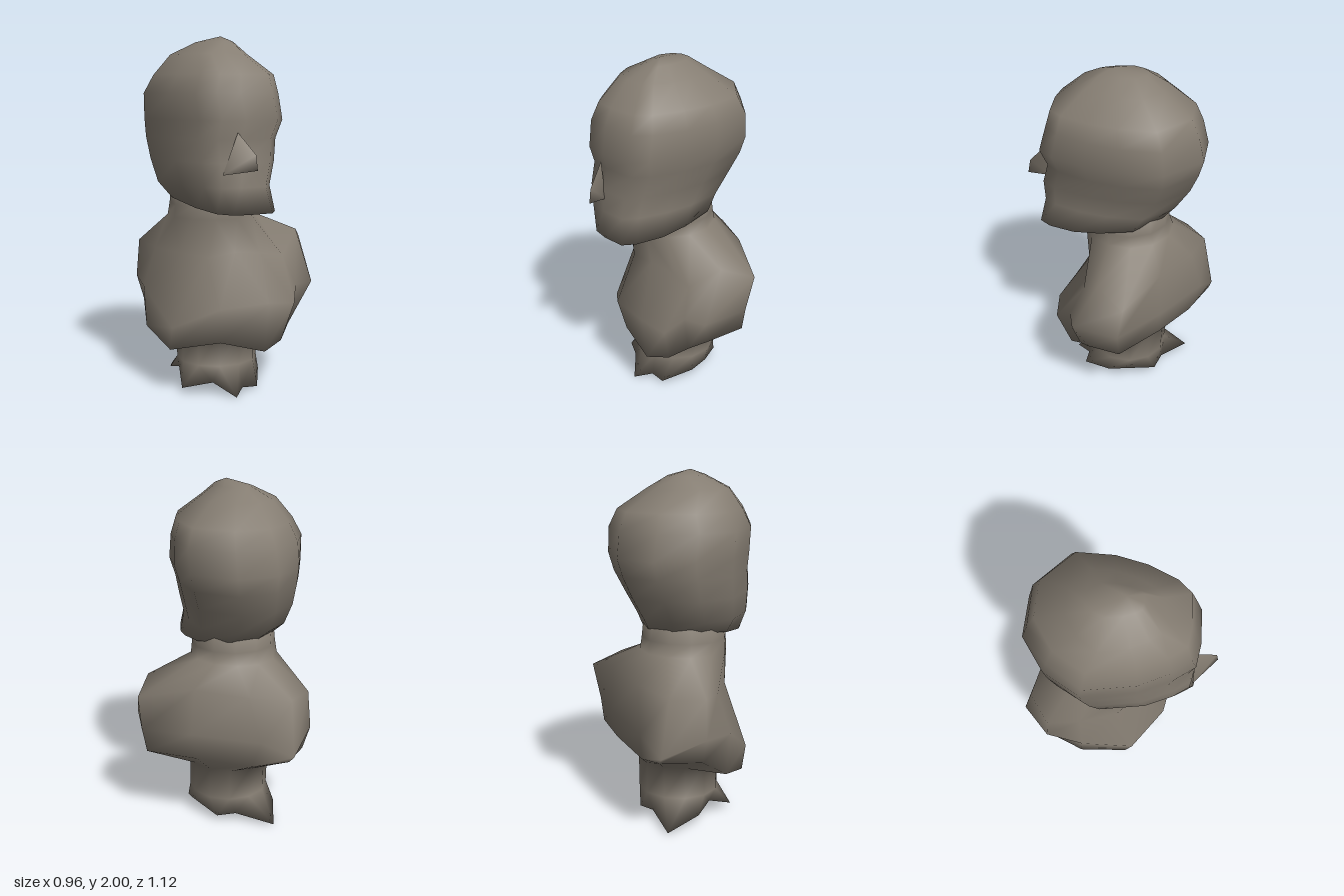
import * as THREE from 'three';

const stone = new THREE.MeshStandardMaterial({ color: 0x857d72 });
stone.name = 'warm grey stone';

// Skin over rings of equal point count, listed bottom to top, each end closed by a centre point
function loft(name, rings, bottom, top) {
  const n = rings[0].length;
  const pos = rings.flat(2).concat(bottom, top);
  const lo = rings.length * n, hi = lo + 1, last = (rings.length - 1) * n;
  const index = [];
  for (let i = 0; i < n; i++) {
    const j = (i + 1) % n;
    for (let r = 0; r < rings.length - 1; r++) {
      const a = r * n + i, b = r * n + j;
      index.push(a, a + n, b, b, a + n, b + n);
    }
    index.push(lo, i, j, hi, last + j, last + i);
  }
  return solid(name, pos, index);
}

function solid(name, pos, index) {
  const g = new THREE.BufferGeometry();
  g.setAttribute('position', new THREE.Float32BufferAttribute(pos, 3));
  g.setIndex(index);
  g.computeVertexNormals();
  const m = new THREE.Mesh(g, stone);
  m.name = name;
  return m;
}

// Twelve-point oval, from +x round towards +z
const oval = (y, cx, cz, rx, rz) => Array.from({ length: 12 }, (_, i) => {
  const a = (i / 12) * Math.PI * 2;
  return [cx + Math.cos(a) * rx, y, cz + Math.sin(a) * rz];
});

export function createModel() {
  const group = new THREE.Group();
  group.name = 'bust';

  // Ragged, flared rim of the pedestal
  const rim = [[.14, .09, 0], [.11, .06, .1], [-.01, .015, .25], [-.1, .02, .23],
    [-.19, 0, .3], [-.27, .07, .18], [-.4, .03, .06], [-.32, .1, -.1],
    [-.3, .06, -.23], [-.18, .01, -.41], [-.02, .05, -.24], [.08, .04, -.19]];

  // Torso, turned towards its right: hem, widest girth, shoulders
  const hem = [[.42, .46, .04], [.3, .42, .22], [.2, .36, .27], [.1, .29, .33],
    [-.04, .255, .36], [-.27, .32, .26], [-.47, .265, .05], [-.46, .34, -.23],
    [-.38, .46, -.4], [-.18, .48, -.54], [-.02, .43, -.4], [.22, .46, -.2]];
  const girth = [[.445, .6, .05], [.34, .6, .31], [.21, .6, .325], [.13, .52, .41],
    [-.04, .54, .4], [-.3, .52, .3], [-.48, .4, .09], [-.48, .58, -.22],
    [-.41, .6, -.43], [-.2, .51, -.56], [-.04, .6, -.47], [.26, .62, -.2]];
  const shoulders = [[.48, .82, .02], [.34, .89, .16], [.18, .76, .24], [.05, .78, .2],
    [-.12, .8, .19], [-.28, .78, .15], [-.37, .8, 0], [-.4, .8, -.22],
    [-.4, .82, -.41], [-.22, .83, -.5], [0, .86, -.4], [.24, .89, -.2]];
  group.add(loft('pedestalTorsoAndNeck', [
    rim,
    oval(.15, -.1, -.03, .235, .23),
    oval(.34, -.1, -.035, .235, .235),
    hem, girth, shoulders,
    oval(1.0, -.13, -.035, .25, .26),
    oval(1.07, -.13, -.03, .245, .24),
    oval(1.2, -.13, -.03, .23, .23),
  ], [-.1, .13, -.03], [-.13, 1.2, -.03]));

  // Head: one plan outline fitted to the extents at each height
  const plan = [[1, -.42], [.9, .08], [.7, .48], [.4, .85], [.16, 1], [-.35, .95], [-.7, .86],
    [-.86, .61], [-1, .21], [-1, -.42], [-.6, -.8], [-.05, -1], [.57, -.9]];
  const levels = [ // y, x from, x to, z from, z to
    [1.06, -.39, .12, -.26, .49], [1.2, -.445, .13, -.33, .455],
    [1.33, -.46, .18, -.41, .46], [1.45, -.465, .23, -.45, .43],
    [1.55, -.47, .26, -.475, .47], [1.69, -.48, .262, -.44, .43],
    [1.79, -.43, .22, -.395, .4], [1.9, -.36, .07, -.24, .25],
    [1.97, -.22, -.04, -.14, .15]];
  const rings = levels.map(([y, x0, x1, z0, z1], k) => plan.map(([u, v]) => [
    (x0 + x1) / 2 + u * (x1 - x0) / 2,
    y + (k === 0 ? Math.max(0, .6 - v) * .05 : 0), // jaw rises towards the nape
    (z0 + z1) / 2 + v * (z1 - z0) / 2]));
  group.add(loft('head', rings, [-.13, 1.07, .1], [-.13, 2, .06]));

  // Nose, bent towards its left: bridge, tip, underside, two nostril corners
  group.add(solid('nose', [
    -.27, 1.49, .42, -.245, 1.38, .545, -.245, 1.3, .56, -.36, 1.27, .41, -.24, 1.28, .43,
  ], [0, 3, 1, 1, 3, 2, 0, 1, 4, 1, 2, 4, 2, 3, 4]));

  return group;
}
